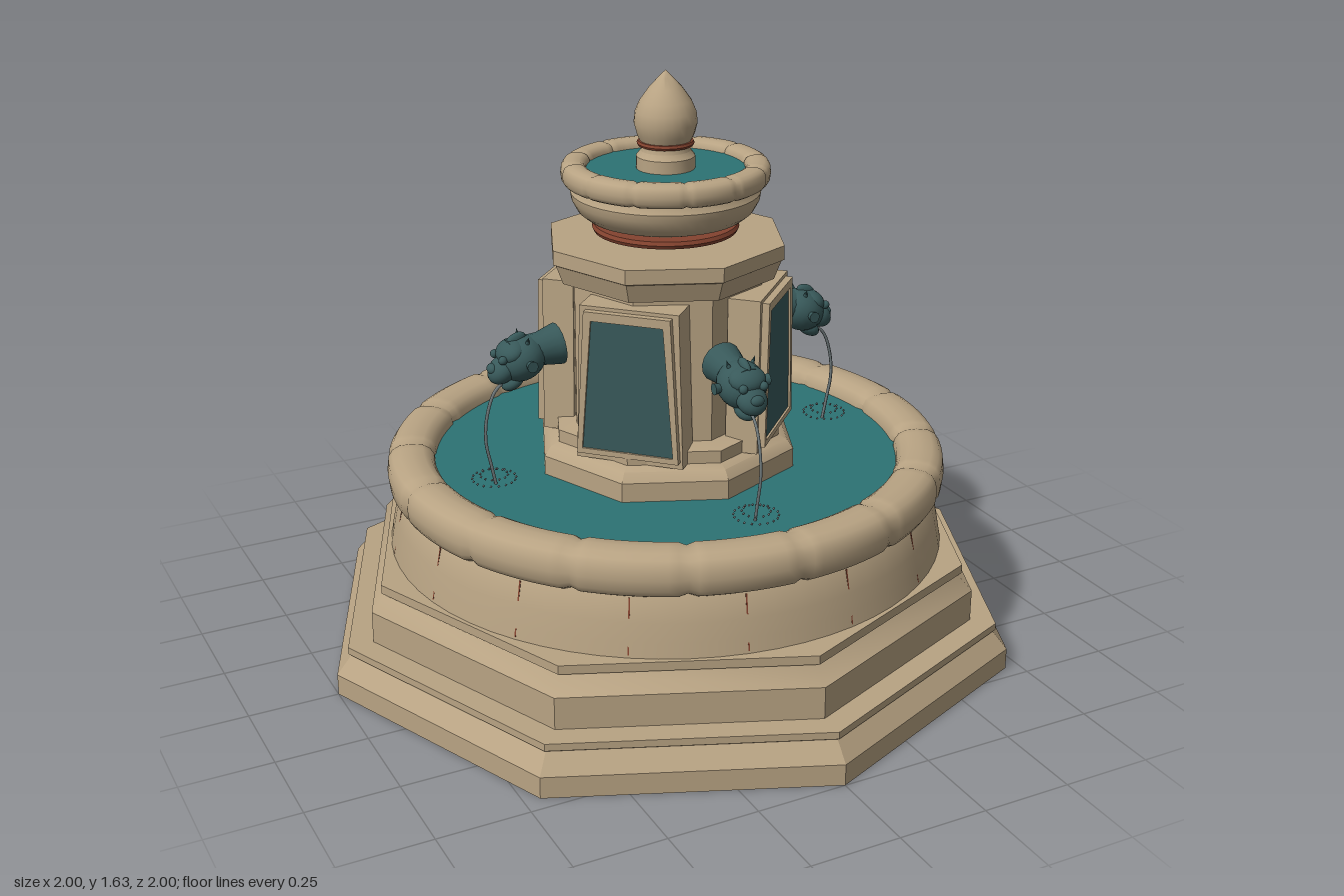
import * as THREE from 'three';
import { toCreasedNormals } from 'three/addons/utils/BufferGeometryUtils.js';

const mat = (name, color) => {
  const m = new THREE.MeshStandardMaterial({ color });
  m.name = name;
  return m;
};

export function createModel() {
  const root = new THREE.Group();
  root.name = 'fountain';
  const stone = mat('sandstone', 0xb8a383);
  const bronze = mat('dark bronze', 0x38595a);
  const water = mat('water', 0x2c7374);
  const rust = mat('rust trim', 0x84432f);
  const spray = mat('spray', 0x727c7e);

  const add = (name, geo, material, parent = root) => {
    const m = new THREE.Mesh(geo, material);
    m.name = name;
    parent.add(m);
    return m;
  };
  // Turned profile of [radius, height] points, listed bottom to top
  const turn = (pts, sides, crease = 0.6) =>
    toCreasedNormals(new THREE.LatheGeometry(pts.map(p => new THREE.Vector2(...p)), sides), crease);

  // Ring of rounded coping stones: an oval section pinched at every joint
  const copingRing = (radius, y, halfW, halfH, count, offset) => {
    const pts = [];
    for (let i = 0; i <= 16; i++) {
      const a = (i / 16) * Math.PI * 2;
      const soft = v => Math.sign(v) * Math.pow(Math.abs(v), 0.75);
      pts.push(new THREE.Vector2(radius + halfW * soft(Math.cos(a)), y + halfH * soft(Math.sin(a))));
    }
    const cols = 12;
    const geo = new THREE.LatheGeometry(pts, count * cols);
    const p = geo.attributes.position;
    for (let i = 0; i < p.count; i++) {
      if (Math.floor(i / 17) % cols) continue;
      const r = Math.hypot(p.getX(i), p.getZ(i));
      const s = (radius + (r - radius) * 0.88) / r;
      p.setXYZ(i, p.getX(i) * s, y + (p.getY(i) - y) * 0.88, p.getZ(i) * s);
    }
    geo.rotateY(offset);
    return toCreasedNormals(geo, 0.8);
  };

  // Stepped octagonal base
  add('lowerStep', turn([[0, 0], [1, 0], [1, 0.06], [0.957, 0.11], [0.965, 0.115], [0.965, 0.135], [0, 0.135]], 8), stone);
  add('upperStep', turn([[0.893, 0.13], [0.893, 0.225], [0.85, 0.27], [0.862, 0.275], [0.862, 0.3], [0, 0.3]], 8), stone);

  // Round basin
  add('basinWall', turn([[0.786, 0.3], [0.779, 0.34], [0.769, 0.39], [0.752, 0.46], [0.72, 0.5]], 64), stone);
  add('basinRim', copingRing(0.718, 0.517, 0.068, 0.064, 16, 0), stone);
  add('basinWater', turn([[0.68, 0.53], [0, 0.532]], 64), water);

  // Thin joints on the wall, set between the coping joints
  for (let i = 0; i < 16; i++) {
    const joint = new THREE.Group();
    joint.name = 'wallJoint';
    joint.rotation.y = (i + 0.5) * Math.PI / 8;
    const bar = add('wallJointLine', new THREE.BoxGeometry(0.004, 0.15, 0.004), rust, joint);
    bar.position.set(0, 0.38, 0.7685);
    bar.rotation.x = -0.2;
    root.add(joint);
  }

  // Octagonal pedestal
  add('pedestalFoot', turn([[0.374, 0.52], [0.374, 0.585], [0.355, 0.61], [0.33, 0.62], [0.33, 0.655], [0.27, 0.665]], 8), stone);
  add('pedestalShaft', turn([[0.275, 0.6], [0.275, 1.08]], 8), stone);
  add('cornice', turn([[0.26, 1.075], [0.308, 1.075], [0.328, 1.128], [0.336, 1.132], [0.336, 1.172], [0, 1.172]], 8), stone);

  // Trapezoid plate, with an optional trapezoid opening
  const trapezoid = (wBottom, wTop, y0, y1) => [[-wBottom, y0], [wBottom, y0], [wTop, y1], [-wTop, y1]]
    .map(p => new THREE.Vector2(...p));
  const plate = (outer, hole, depth) => {
    const shape = new THREE.Shape(outer);
    if (hole) shape.holes.push(new THREE.Path(hole));
    return new THREE.ExtrudeGeometry(shape, { depth, bevelEnabled: false });
  };
  const opening = trapezoid(0.128, 0.1, 0.655, 1.02);
  for (let i = 0; i < 4; i++) {
    const g = new THREE.Group();
    g.name = 'framedPanel';
    g.rotation.y = Math.PI / 4 + i * Math.PI / 2;
    add('panelBlock', plate(trapezoid(0.15, 0.138, 0.62, 1.055), null, 0.09), stone, g).position.z = 0.22;
    add('panelFrame', plate(trapezoid(0.143, 0.12, 0.64, 1.045), opening, 0.02), stone, g).position.z = 0.31;
    add('panelPlate', plate(opening, null, 0.008), bronze, g).position.z = 0.316;
    root.add(g);
  }

  // Beast-head spouts with their jets
  const jetPath = new THREE.CatmullRomCurve3([[0.835, 0.475], [0.8, 0.515], [0.73, 0.54], [0.66, 0.545], [0.59, 0.532], [0.53, 0.52]]
    .map(([y, z]) => new THREE.Vector3(0, y, z)));
  const ball = new THREE.SphereGeometry(1, 20, 14);
  for (let i = 0; i < 4; i++) {
    const g = new THREE.Group();
    g.name = 'spout';
    g.rotation.y = i * Math.PI / 2;
    const blob = (name, x, y, z, sx, sy, sz, tilt = 0) => {
      const m = add(name, ball, bronze, g);
      m.position.set(x, y, z);
      m.scale.set(sx, sy, sz);
      m.rotation.x = tilt;
    };
    const neck = add('neck', turn([[0, -0.07], [0.05, -0.07], [0.046, 0.02], [0.055, 0.06], [0.058, 0.075], [0, 0.075]], 16), bronze, g);
    neck.position.set(0, 0.9, 0.4);
    neck.rotation.x = -Math.PI / 2 + 0.12;
    blob('head', 0, 0.885, 0.435, 0.066, 0.06, 0.07, 0.5);
    blob('brow', 0, 0.91, 0.465, 0.052, 0.03, 0.042, 0.5);
    blob('muzzle', 0, 0.862, 0.49, 0.042, 0.034, 0.046, 0.7);
    blob('jaw', 0, 0.826, 0.462, 0.033, 0.022, 0.036, 0.6);
    blob('nose', 0, 0.868, 0.52, 0.02, 0.015, 0.014);
    blob('crest', 0, 0.94, 0.45, 0.012, 0.018, 0.03, 0.4);
    for (const s of [-1, 1]) {
      blob('eye', s * 0.03, 0.898, 0.5, 0.012, 0.012, 0.012);
      const ear = add('ear', new THREE.CylinderGeometry(0.016, 0.009, 0.03, 10), bronze, g);
      ear.position.set(s * 0.066, 0.885, 0.435);
      ear.rotation.z = -s * Math.PI / 2;
      const horn = add('horn', new THREE.ConeGeometry(0.012, 0.04, 8), bronze, g);
      horn.position.set(s * 0.035, 0.938, 0.43);
      horn.rotation.z = -s * 0.4;
    }
    add('jet', new THREE.TubeGeometry(jetPath, 32, 0.0045, 6), spray, g);
    // Droplets where the jet lands
    for (const [radius, count, y] of [[0.06, 18, 0.55], [0.038, 12, 0.56]]) {
      for (let k = 0; k < count; k++) {
        const a = (k / count) * Math.PI * 2;
        add('droplet', new THREE.OctahedronGeometry(0.0045), spray, g)
          .position.set(radius * Math.sin(a), y, 0.525 + radius * Math.cos(a));
      }
    }
    root.add(g);
  }

  // Upper bowl
  add('bowlTrim', turn([[0, 1.19], [0.196, 1.19], [0.201, 1.2], [0.196, 1.21], [0, 1.21]], 48), rust);
  add('upperBowl', turn([[0, 1.22], [0.185, 1.22], [0.215, 1.23], [0.24, 1.25], [0.256, 1.28], [0.259, 1.3], [0.25, 1.315], [0.245, 1.34]], 48), stone);
  add('upperRim', copingRing(0.249, 1.352, 0.035, 0.033, 12, Math.PI / 12), stone);
  add('upperWater', turn([[0.235, 1.36], [0, 1.361]], 48), water);

  // Bud finial
  add('finialFoot', turn([[0.08, 1.35], [0.08, 1.395], [0.068, 1.41], [0.066, 1.43]], 24), stone);
  add('finialCollar', turn([[0.06, 1.422], [0.075, 1.424], [0.078, 1.43], [0.075, 1.437], [0.06, 1.438]], 24), rust);
  add('finialBud', turn([[0.066, 1.43], [0.078, 1.455], [0.086, 1.485], [0.083, 1.515], [0.07, 1.545], [0.045, 1.58], [0.02, 1.607], [0, 1.627]], 24), stone);

  return root;
}
